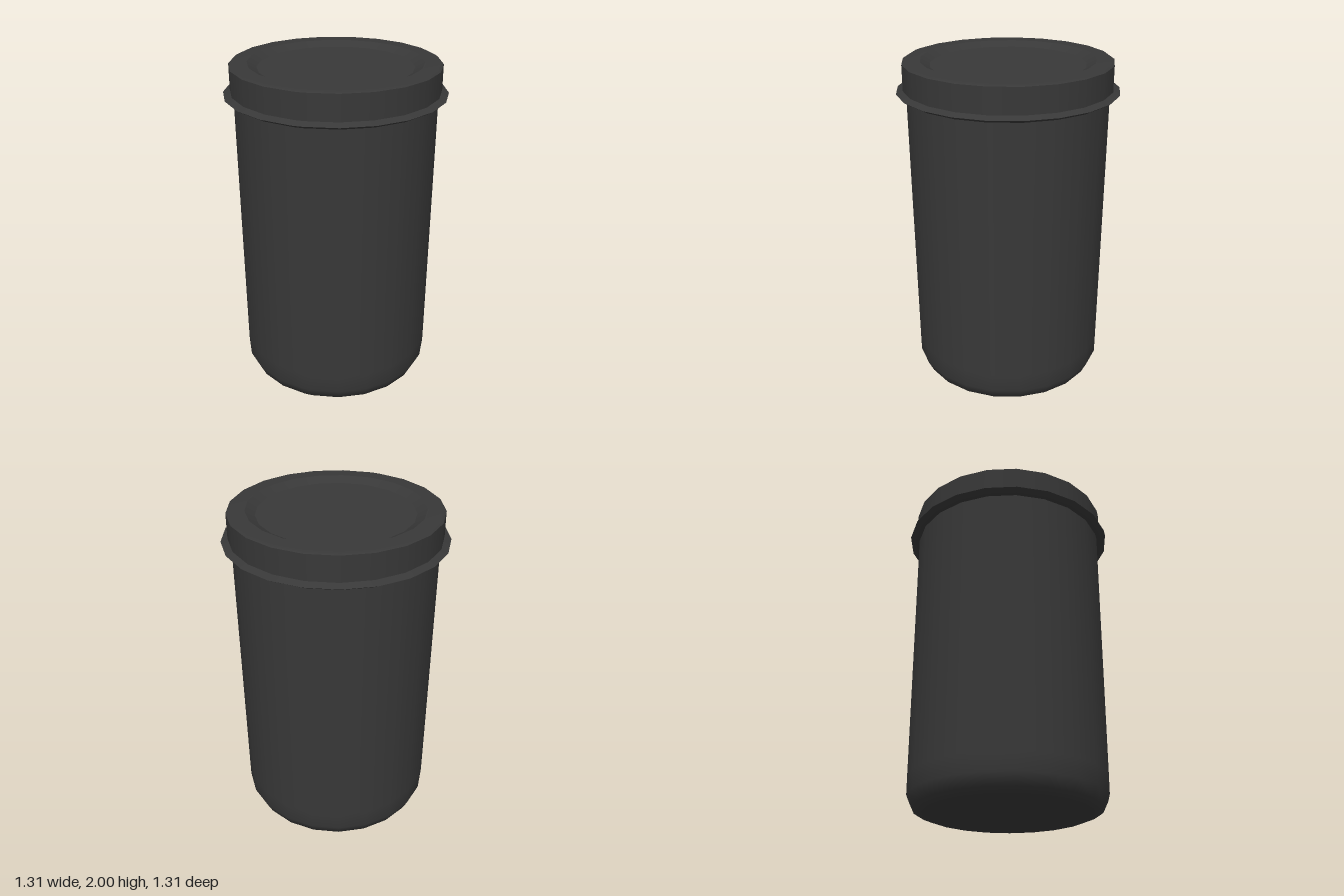
import * as THREE from 'three';

const SIDES = 22;
const STEP = THREE.MathUtils.degToRad(16.9);

// Turned surface whose facets are equal except for one narrow closing facet at the front
function turned(profile) {
  const geo = new THREE.LatheGeometry(profile.map(([r, y]) => new THREE.Vector2(r, y)), SIDES);
  const { position, normal } = geo.attributes;
  const up = new THREE.Vector3(0, 1, 0);
  const v = new THREE.Vector3();
  for (let i = 0; i < position.count; i++) {
    const column = Math.floor(i / profile.length);
    const target = column === 0 ? 0 : Math.PI * 2 - (SIDES - column) * STEP;
    const turn = target - (column / SIDES) * Math.PI * 2;
    for (const attribute of [position, normal]) {
      v.fromBufferAttribute(attribute, i).applyAxisAngle(up, turn);
      attribute.setXYZ(i, v.x, v.y, v.z);
    }
  }
  return geo;
}

export function createModel() {
  const model = new THREE.Group();
  model.name = 'canister';
  const material = new THREE.MeshStandardMaterial({ color: 0x383838, side: THREE.DoubleSide });

  function group(name, parts) {
    const g = new THREE.Group();
    g.name = name;
    for (const [part, profile] of Object.entries(parts)) {
      const mesh = new THREE.Mesh(turned(profile), material);
      mesh.name = part;
      g.add(mesh);
    }
    model.add(g);
  }

  // Slightly tapered container with a rounded foot; profiles run [radius, height]
  group('body', {
    base: [[0, 0], [0.5, 0]],
    wall: [[0.5, 0], [0.555, 0.022], [0.588, 0.09], [0.589, 0.2], [0.597, 1.82]],
  });

  // Cap with a pointed lip round its lower edge and a shallow recess in the top
  group('lid', {
    lipUnderside: [[0.595, 1.805], [0.625, 1.805], [0.655, 1.823]],
    lipTop: [[0.655, 1.823], [0.615, 1.84]],
    skirt: [[0.615, 1.84], [0.615, 1.99]],
    rim: [[0.615, 1.99], [0.6, 2], [0.51, 2]],
    recessWall: [[0.51, 2], [0.455, 1.97]],
    recessFloor: [[0.455, 1.97], [0, 1.97]],
  });

  return model;
}
